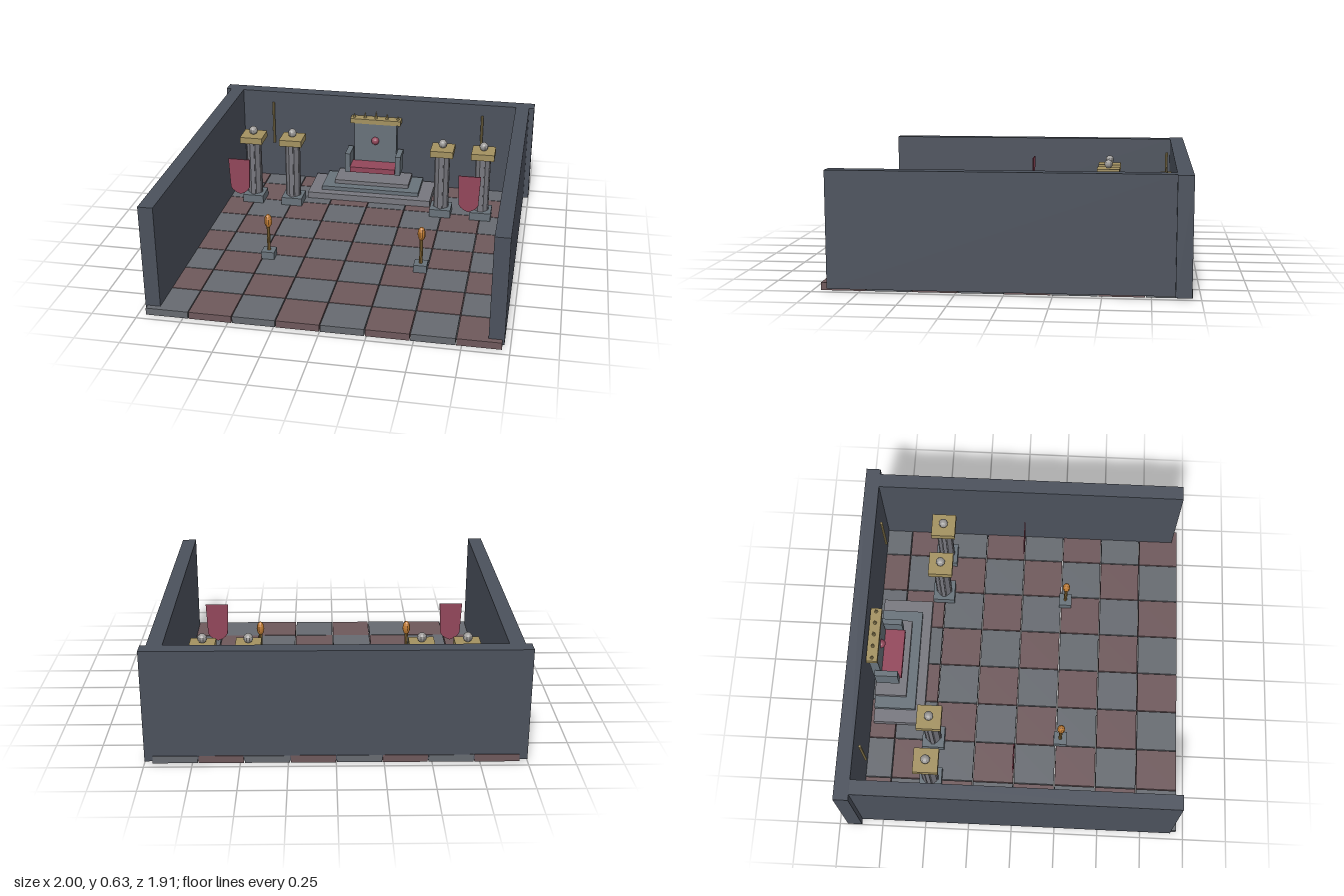
import * as THREE from 'three';

const mat = (color) => new THREE.MeshStandardMaterial({ color, flatShading: true });
const MAT = {
  wall: mat(0x4b515c), tileGrey: mat(0x666a70), tileRed: mat(0x6e585b),
  stone: mat(0x77777e), slate: mat(0x68727a), gold: mat(0xa39160),
  red: mat(0x92465a), orb: mat(0x9a9896), flame: mat(0xc07c34), torch: mat(0x8a6c38),
};
MAT.cloth = mat(0x92465a);
MAT.cloth.side = THREE.DoubleSide;

function add(parent, name, geometry, material, x = 0, y = 0, z = 0) {
  const mesh = new THREE.Mesh(geometry, material);
  mesh.name = name;
  mesh.position.set(x, y, z);
  parent.add(mesh);
  return mesh;
}

// Box given by its extents on each axis
function box(parent, name, material, x0, x1, y0, y1, z0, z1) {
  return add(parent, name, new THREE.BoxGeometry(x1 - x0, y1 - y0, z1 - z0), material,
    (x0 + x1) / 2, (y0 + y1) / 2, (z0 + z1) / 2);
}

function group(parent, name, x = 0, z = 0) {
  const g = new THREE.Group();
  g.name = name;
  g.position.set(x, 0, z);
  parent.add(g);
  return g;
}

// Checkered floor, 8 x 8 separate tiles
function buildFloor(root) {
  const floor = group(root, 'floor');
  const tile = new THREE.BoxGeometry(0.235, 0.04, 0.235);
  for (let i = 0; i < 8; i++) {
    for (let j = 0; j < 8; j++) {
      const m = (i + j) % 2 ? MAT.tileGrey : MAT.tileRed;
      add(floor, 'tile', tile, m, (i - 3.5) * 0.24, 0.02, (j - 3.5) * 0.24);
    }
  }
}

function buildWalls(root) {
  const walls = group(root, 'walls');
  box(walls, 'backWall', MAT.wall, -1, 1, 0.01, 0.63, -0.953, -0.87);
  box(walls, 'leftWall', MAT.wall, 0.885, 0.968, 0.01, 0.63, -0.87, 0.925);
  box(walls, 'rightWall', MAT.wall, -0.968, -0.885, 0.01, 0.63, -0.87, 0.925);
}

// Column with plinth, ribbed shaft, gilded capital and orb
function buildColumn(root, x) {
  const c = group(root, 'column', x, -0.485);
  box(c, 'plinth', MAT.slate, -0.065, 0.065, 0.04, 0.09, -0.065, 0.065);
  const shaft = add(c, 'shaft', new THREE.CylinderGeometry(0.043, 0.043, 0.355, 8), MAT.stone, 0, 0.2675, 0);
  shaft.rotation.y = Math.PI / 8;
  for (let k = 0; k < 4; k++) {
    const a = k * Math.PI / 2;
    const rib = add(c, 'shaftRib', new THREE.BoxGeometry(0.022, 0.355, 0.012), MAT.stone,
      Math.sin(a) * 0.04, 0.2675, Math.cos(a) * 0.04);
    rib.rotation.y = a;
  }
  box(c, 'capital', MAT.gold, -0.07, 0.07, 0.445, 0.485, -0.07, 0.07);
  add(c, 'orb', new THREE.SphereGeometry(0.027, 10, 8), MAT.orb, 0, 0.511, 0);
}

// Three-step dais
function buildDais(root) {
  const dais = group(root, 'dais');
  const steps = [
    [0.393, 0.08, -0.552, MAT.stone], [0.312, 0.105, -0.607, MAT.slate], [0.24, 0.13, -0.664, MAT.stone],
  ];
  let y = 0.04;
  for (const [halfWidth, top, front, m] of steps) {
    box(dais, 'step', m, -halfWidth, halfWidth, y, top, -0.85, front);
    y = top;
  }
}

function buildThrone(root) {
  const t = group(root, 'throne');
  box(t, 'throneBack', MAT.slate, -0.138, 0.138, 0.18, 0.48, -0.86, -0.81);
  box(t, 'cushion', MAT.red, -0.146, 0.146, 0.18, 0.215, -0.81, -0.692);
  for (const s of [-1, 1]) {
    const arm = box(t, 'armrest', MAT.slate, 0.146, 0.18, 0.172, 0.3, -0.84, -0.705);
    arm.position.x *= s;
  }
  box(t, 'crestRail', MAT.gold, -0.163, 0.163, 0.475, 0.506, -0.866, -0.802);
  add(t, 'gem', new THREE.SphereGeometry(0.026, 12, 8), MAT.red, 0, 0.36, -0.808);
  // Crest spikes, tallest in the middle
  for (let i = -2; i <= 2; i++) {
    const h = 0.055 - Math.abs(i) * 0.013;
    add(t, 'crestSpike', new THREE.ConeGeometry(0.011, h, 6), MAT.gold, i * 0.071, 0.505 + h / 2, -0.834);
  }
}

function buildTorch(root, x) {
  const t = group(root, 'torch', x, 0.265);
  box(t, 'torchBase', MAT.slate, -0.038, 0.038, 0.04, 0.085, -0.038, 0.038);
  add(t, 'torchPole', new THREE.CylinderGeometry(0.01, 0.01, 0.16, 8), MAT.torch, 0, 0.16, 0);
  const flame = add(t, 'flame', new THREE.SphereGeometry(0.023, 10, 8), MAT.flame, 0, 0.271, 0);
  flame.scale.y = 1.85;
}

// Hanging cloth with a tapered hem, and a slim pole by the back wall
function buildBanner(root, x) {
  const b = group(root, 'banner', x);
  const s = new THREE.Shape();
  s.moveTo(-0.065, 0.525);
  s.lineTo(-0.057, 0.345);
  s.quadraticCurveTo(-0.045, 0.315, 0, 0.3);
  s.quadraticCurveTo(0.045, 0.315, 0.057, 0.345);
  s.lineTo(0.065, 0.525);
  s.closePath();
  const cloth = new THREE.ExtrudeGeometry(s, { depth: 0.006, bevelEnabled: false, curveSegments: 3 });
  add(b, 'bannerCloth', cloth, MAT.cloth, 0, 0, -0.003);
  add(b, 'bannerPole', new THREE.CylinderGeometry(0.008, 0.008, 0.28, 8), MAT.gold, 0, 0.424, -0.845);
}

export function createModel() {
  const root = new THREE.Group();
  root.name = 'throneRoom';
  buildFloor(root);
  buildWalls(root);
  buildDais(root);
  buildThrone(root);
  for (const s of [-1, 1]) {
    buildColumn(root, s * 0.472);
    buildColumn(root, s * 0.722);
    buildTorch(root, s * 0.445);
    buildBanner(root, s * 0.68);
  }
  return root;
}
